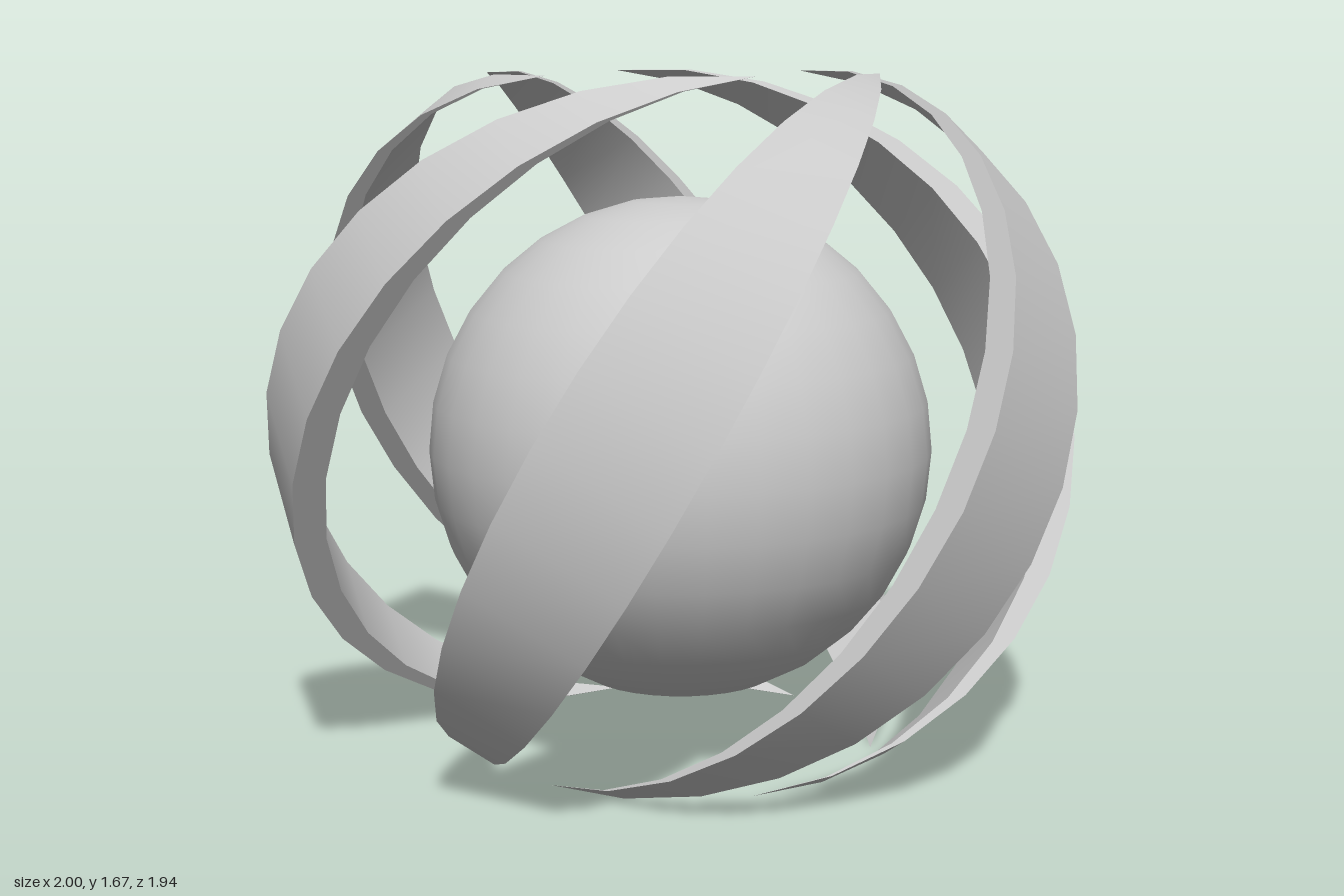
import * as THREE from 'three';

const CENTER_Y = 0.84;      // height of the cage centre
const HALF_LENGTH = 0.966;  // blade half length, tip to tip
const HALF_WIDTH = 0.17;    // blade half width at its middle
const OUTER = 1.0;          // outward reach of the outer face
const INNER = 0.92;         // outward reach of the inner face
const STEPS = 16;

// Crescent blade: a four-cornered section swept over a half turn, tapering to both tips.
function bladeGeometry() {
  const innerWidth = HALF_WIDTH * INNER / OUTER;
  const corners = [[OUTER, HALF_WIDTH], [OUTER, -HALF_WIDTH], [INNER, -innerWidth], [INNER, innerWidth]];
  const positions = [];
  const indices = [];
  // Each of the four faces has its own vertices, so the long edges stay sharp.
  for (let f = 0; f < 4; f++) {
    const base = positions.length / 3;
    for (let i = 0; i <= STEPS; i++) {
      const t = Math.PI * i / STEPS;
      for (const [reach, width] of [corners[f], corners[(f + 1) % 4]]) {
        positions.push(reach * Math.sin(t), HALF_LENGTH * Math.cos(t), width * Math.sin(t));
      }
    }
    for (let i = 0; i < STEPS; i++) {
      const a = base + i * 2;
      if (i > 0) indices.push(a, a + 2, a + 1);
      if (i < STEPS - 1) indices.push(a + 1, a + 2, a + 3);
    }
  }
  const geometry = new THREE.BufferGeometry();
  geometry.setAttribute('position', new THREE.Float32BufferAttribute(positions, 3));
  geometry.setIndex(indices);
  geometry.rotateX(-Math.PI / 6); // slant of the blade
  geometry.computeVertexNormals();
  return geometry;
}

export function createModel() {
  const model = new THREE.Group();
  model.name = 'cagedBall';
  const material = new THREE.MeshStandardMaterial({ color: 0xcccccc });

  // Ball, sitting a little below the middle of the cage
  const ball = new THREE.Mesh(new THREE.SphereGeometry(0.622, 32, 16), material);
  ball.name = 'ball';
  ball.position.y = 0.757;
  model.add(ball);

  // Six slanted blades around the ball
  const cage = new THREE.Group();
  cage.name = 'bladeCage';
  cage.position.y = CENTER_Y;
  const geometry = bladeGeometry();
  for (let i = 0; i < 6; i++) {
    const blade = new THREE.Mesh(geometry, material);
    blade.name = 'blade' + (i + 1);
    blade.rotation.y = i * Math.PI / 3;
    cage.add(blade);
  }
  model.add(cage);
  return model;
}
